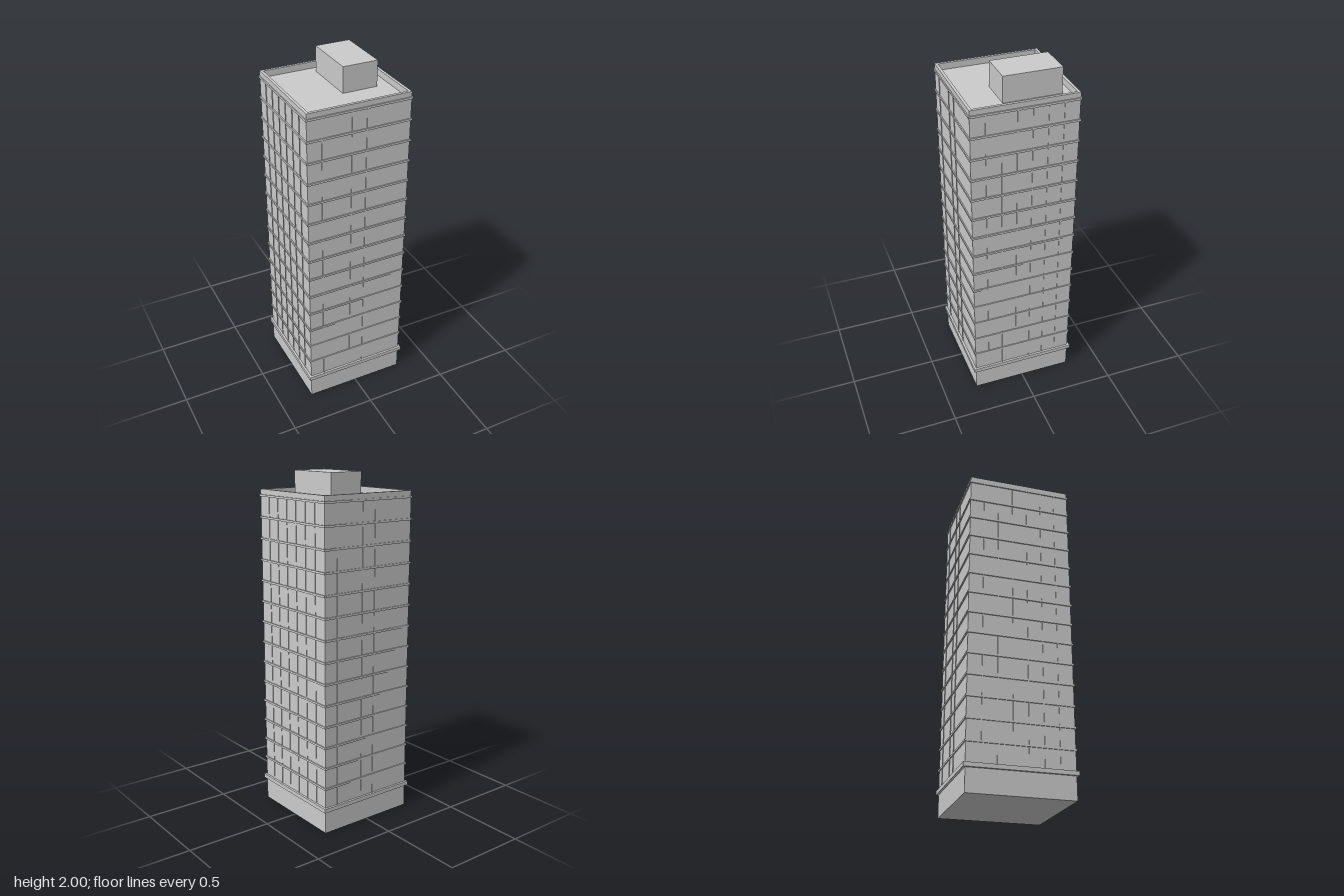
import * as THREE from 'three';

const material = new THREE.MeshStandardMaterial({ color: 0xcccccc, flatShading: true });

// Box given by its lower and upper corners
function box(name, x0, y0, z0, x1, y1, z1) {
  const mesh = new THREE.Mesh(new THREE.BoxGeometry(x1 - x0, y1 - y0, z1 - z0), material);
  mesh.position.set((x0 + x1) / 2, (y0 + y1) / 2, (z0 + z1) / 2);
  mesh.name = name;
  return mesh;
}

// Square block centred on the tower axis
const block = (name, half, y0, y1) => box(name, -half, y0, -half, half, y1, half);

// Square ring with an open middle
function ring(name, outer, inner, y0, y1) {
  const square = (C, h) => new C([[-h, -h], [h, -h], [h, h], [-h, h]].map(([x, y]) => new THREE.Vector2(x, y)));
  const shape = square(THREE.Shape, outer);
  shape.holes.push(square(THREE.Path, inner));
  const geometry = new THREE.ExtrudeGeometry(shape, { depth: y1 - y0, bevelEnabled: false });
  geometry.rotateX(-Math.PI / 2);
  const mesh = new THREE.Mesh(geometry, material);
  mesh.position.y = y0;
  mesh.name = name;
  return mesh;
}

export function createModel() {
  const building = new THREE.Group();
  building.name = 'officeTower';
  const wall = 0.299, roofY = 1.853, baseTop = 0.155;

  // Ground floor, its canopy and the shaft
  building.add(block('groundFloor', wall, 0, 0.131));
  building.add(block('canopy', 0.312, 0.131, baseTop));
  building.add(block('shaft', wall, baseTop, roofY));

  // Ledges between floors
  const ledges = new THREE.Group();
  ledges.name = 'floorLedges';
  for (let i = 0; i < 14; i++) {
    const y = 0.27 + i * 0.1219;
    ledges.add(ring('floorLedge', 0.305, 0.29, y - 0.006, y + 0.006));
  }
  building.add(ledges);

  // Mullions on a seven-bay grid; opposite facades match
  const bay = 0.6 / 7;
  const wide = [-2.5, -0.5, 0.5], narrow = [-2.5, -1.5, -0.5, 0.5, 1.5, 2.5];
  for (let side = 0; side < 4; side++) {
    const facade = new THREE.Group();
    facade.name = ['frontMullions', 'leftMullions', 'backMullions', 'rightMullions'][side];
    for (const k of side % 2 ? narrow : wide) {
      const x = k * bay;
      facade.add(box('mullion', x - 0.003, baseTop, wall - 0.005, x + 0.003, roofY, wall + 0.003));
    }
    facade.rotation.y = side * Math.PI / 2;
    building.add(facade);
  }

  // Roof parapet and rooftop plant room
  building.add(ring('parapet', wall, 0.283, roofY, 1.89));
  building.add(box('plantRoom', 0.006, roofY, -0.235, 0.209, 2, 0.092));
  return building;
}
